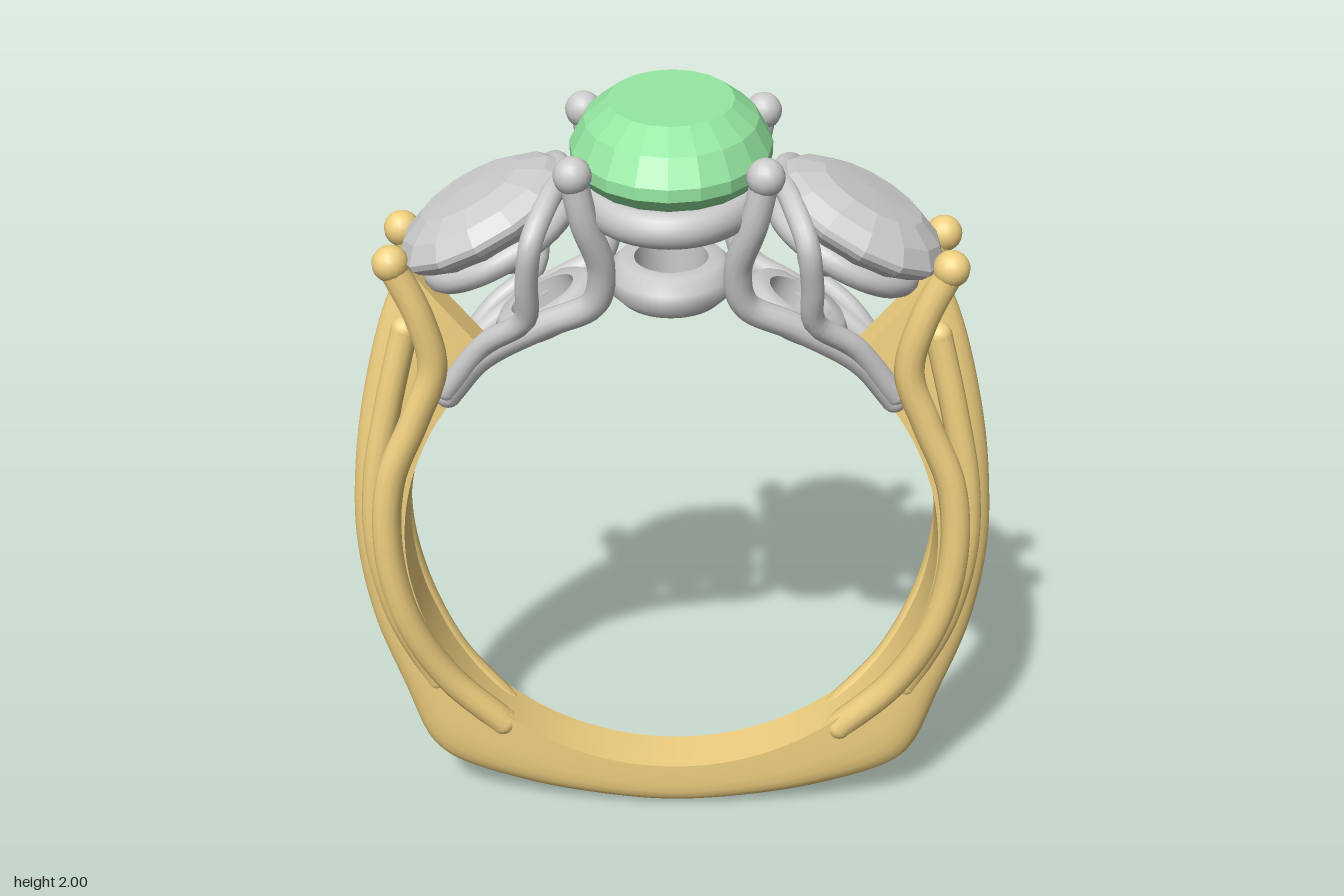
import * as THREE from 'three';
import { toCreasedNormals } from 'three/addons/utils/BufferGeometryUtils.js';

const gold = new THREE.MeshStandardMaterial({ color: 0xf0d080 });
const silver = new THREE.MeshStandardMaterial({ color: 0xcccccc });
const green = new THREE.MeshStandardMaterial({ color: 0x96e8a2, flatShading: true });
const clear = new THREE.MeshStandardMaterial({ color: 0xcccccc, flatShading: true });
const CY = 0.82, INNER = 0.68; // finger hole

function mesh(name, geometry, material) {
  const m = new THREE.Mesh(geometry, material);
  m.name = name;
  return m;
}

// Round wire through points, with ball ends
function wire(name, pts, radius, material, sx = 1, sz = 1, ball = radius) {
  const path = pts.map(([x, y, z]) => new THREE.Vector3(x * sx, y, z * sz));
  const g = new THREE.Group();
  g.name = name;
  g.add(mesh(name + 'Wire', new THREE.TubeGeometry(new THREE.CatmullRomCurve3(path), 60, radius, 12), material));
  [[path[0], radius], [path[path.length - 1], ball]].forEach(([p, r]) => {
    const s = mesh(name + 'End', new THREE.SphereGeometry(r, 16, 12), material);
    s.position.copy(p);
    g.add(s);
  });
  return g;
}

function lathe(profile, sides) {
  return new THREE.LatheGeometry(profile.map(([x, y]) => new THREE.Vector2(x, y)), sides);
}

// Flat collar with rounded outer edges, centred on its origin
function collar(outer, inner, h) {
  const b = h * 0.3;
  return toCreasedNormals(lathe([[inner, -h / 2], [outer - b, -h / 2], [outer, -h / 2 + b], [outer, h / 2 - b],
    [outer - b, h / 2], [inner, h / 2], [inner, -h / 2]], 48), 0.9);
}

// Band: D-shaped section swept round the finger hole, with squared lower shoulders
function bandGeometry() {
  // x, y of the outer edge and half width
  const half = [[0.2, 0.02, 0.07], [0.4, 0.06, 0.07], [0.595, 0.133, 0.07], [0.65, 0.19, 0.07], [0.71, 0.36, 0.068],
    [0.78, 0.58, 0.066], [0.812, 0.82, 0.07], [0.8, 1.05, 0.07], [0.765, 1.25, 0.065], [0.71, 1.45, 0.055], [0.65, 1.59, 0.045]];
  const pts = [...half.map(([x, y, w]) => [-x, y, w]).reverse(), [0, 0.003, 0.07], ...half];
  const path = new THREE.CatmullRomCurve3(pts.map(p => new THREE.Vector3(...p))).getPoints(160);
  const section = [[0, 1]];
  for (let i = 0; i <= 12; i++) {
    const a = Math.PI * i / 12;
    section.push([0.45 + 0.55 * Math.pow(Math.sin(a), 0.8), Math.sign(Math.cos(a)) * Math.pow(Math.abs(Math.cos(a)), 0.8)]);
  }
  section.push([0, -1]);
  const n = section.length, pos = [], idx = [];
  path.forEach(p => {
    const r = Math.hypot(p.x, p.y - CY), c = p.x / r, s = (p.y - CY) / r;
    section.forEach(([f, g]) => {
      const q = INNER + (r - INNER) * f;
      pos.push(q * c, CY + q * s, p.z * g);
    });
  });
  for (let i = 0; i < path.length - 1; i++) {
    for (let j = 0; j < n; j++) {
      const a = i * n + j, b = i * n + (j + 1) % n;
      idx.push(a, b, a + n, b, b + n, a + n);
    }
  }
  const last = (path.length - 1) * n;
  for (let j = 1; j < n - 1; j++) idx.push(0, j + 1, j, last, last + j, last + j + 1);
  const g = new THREE.BufferGeometry();
  g.setAttribute('position', new THREE.Float32BufferAttribute(pos, 3));
  g.setIndex(idx);
  return toCreasedNormals(g, 0.7);
}

export function createModel() {
  const ring = new THREE.Group();
  ring.name = 'ring';
  ring.add(mesh('band', bandGeometry(), gold));

  // Oval centre stone
  const stone = lathe([[0, 1.65], [0.55, 1.75], [0.93, 1.84], [1, 1.865], [1, 1.895], [0.86, 1.955], [0.62, 2], [0, 2]], 20);
  stone.scale(0.24, 1, 0.325);
  ring.add(mesh('centreStone', stone, green));

  // Oval rail and foot collar of the centre setting
  const rail = new THREE.TorusGeometry(1, 0.16, 16, 64);
  rail.rotateX(Math.PI / 2);
  rail.scale(0.2, 0.28, 0.285);
  const railMesh = mesh('centreRail', rail, silver);
  railMesh.position.y = 1.785;
  const foot = mesh('centreFoot', collar(0.155, 0.09, 0.1), silver);
  foot.scale.z = 1.15;
  foot.position.y = 1.55;
  ring.add(railMesh, foot);

  for (const sx of [1, -1]) {
    // Tilted round side stone with its rail
    const side = new THREE.Group();
    side.name = 'sideSetting';
    side.position.set(0.445 * sx, 1.7, 0);
    side.rotation.z = -0.49 * sx;
    side.add(mesh('sideStone', lathe([[0, -0.17], [0.13, -0.085], [0.225, -0.015], [0.235, 0], [0.235, 0.015],
      [0.2, 0.05], [0.135, 0.078], [0, 0.085]], 14), clear));
    const sideRail = mesh('sideRail', new THREE.TorusGeometry(0.175, 0.033, 12, 48), silver);
    sideRail.rotation.x = Math.PI / 2;
    sideRail.position.y = -0.065;
    side.add(sideRail);
    ring.add(side);

    // Foot collar resting on the finger hole
    const sideFoot = mesh('sideFoot', collar(0.14, 0.085, 0.07), silver);
    sideFoot.position.set(0.3 * sx, 1.465, 0);
    sideFoot.rotation.z = -0.46 * sx;
    ring.add(sideFoot);

    // Wire saddle hugging the inner edge of the side stone
    const leg = [[0.55, 1.27, 0.075], [0.45, 1.41, 0.11], [0.345, 1.5, 0.16], [0.335, 1.61, 0.2], [0.32, 1.72, 0.215], [0.285, 1.79, 0.13]];
    const saddle = [...leg, [0.26, 1.805, 0], ...leg.map(([x, y, z]) => [x, y, -z]).reverse()];
    ring.add(wire('sideSaddle', saddle, 0.028, silver, sx));

    for (const sz of [1, -1]) {
      // Claw sweeping up from the shoulder to the centre stone
      ring.add(wire('centreClaw', [[0.55, 1.25, 0.06], [0.46, 1.365, 0.085], [0.3, 1.47, 0.12], [0.18, 1.54, 0.15],
        [0.16, 1.64, 0.175], [0.195, 1.77, 0.215], [0.22, 1.89, 0.225]], 0.034, silver, sx, sz, 0.045));
      // Outer strand ending in a claw for the side stone
      ring.add(wire('shoulderClaw', [[0.45, 0.265, 0.045], [0.585, 0.42, 0.07], [0.68, 0.62, 0.1], [0.717, 0.83, 0.107],
        [0.7, 1.03, 0.105], [0.63, 1.2, 0.1], [0.58, 1.34, 0.1], [0.605, 1.48, 0.108], [0.665, 1.62, 0.11]],
        0.037, gold, sx, sz, 0.045));
      // Second strand lying beside the band
      ring.add(wire('shoulderStrand', [[0.62, 0.4, 0.04], [0.71, 0.62, 0.065], [0.747, 0.83, 0.078], [0.74, 1.02, 0.075],
        [0.7, 1.22, 0.065], [0.65, 1.42, 0.05]], 0.034, gold, sx, sz));
    }
  }
  return ring;
}
